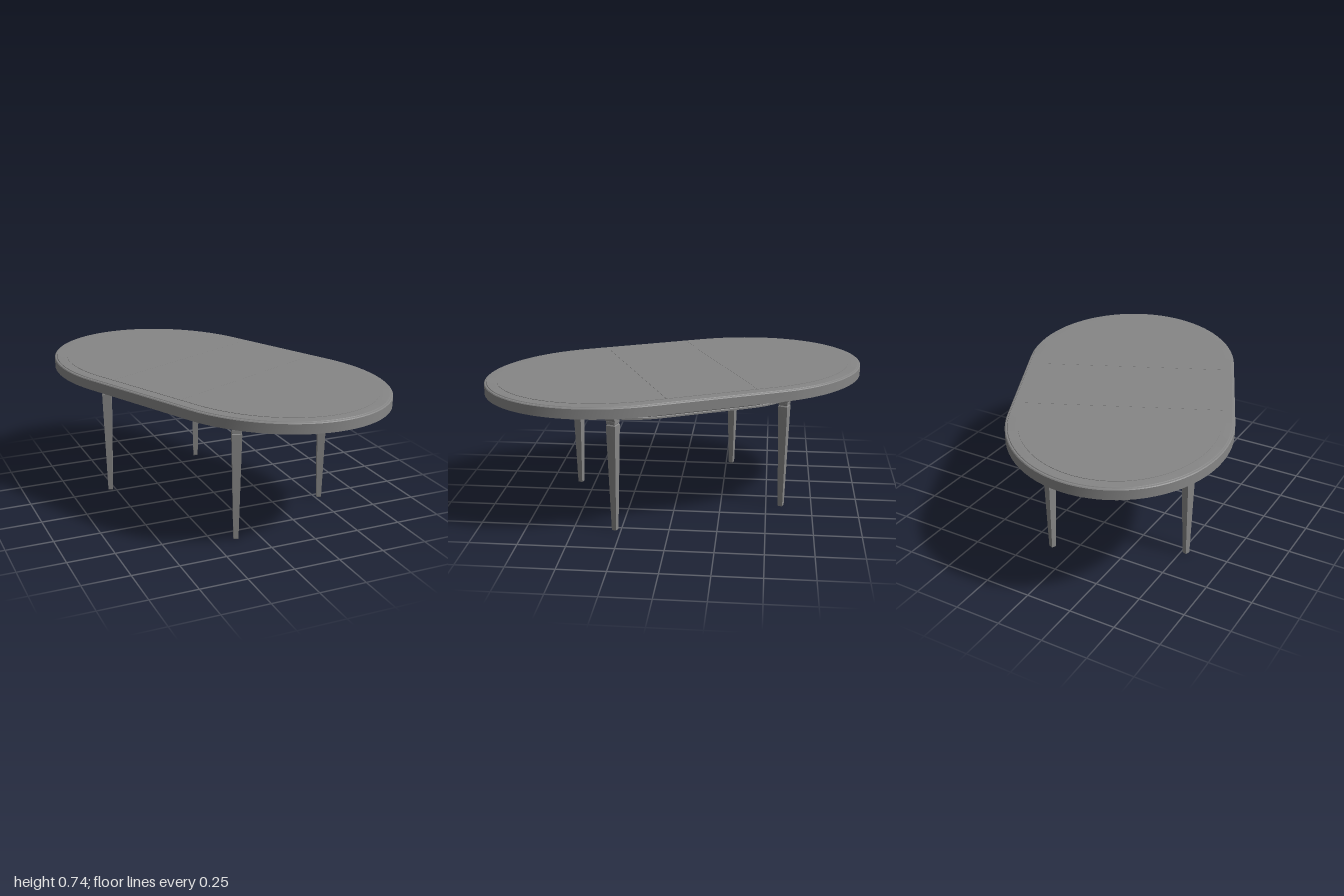
import * as THREE from 'three';
import { toCreasedNormals } from 'three/addons/utils/BufferGeometryUtils.js';

const material = new THREE.MeshStandardMaterial({ color: 0x868686 });

function part(geometry, name, parent) {
  const mesh = new THREE.Mesh(geometry, material);
  mesh.name = name;
  parent.add(mesh);
  return mesh;
}

// Oval outline: two half ellipses (a wide, b long) joined by straights of half length s.
function oval(a, b, s, n = 40) {
  const points = [];
  for (const side of [1, -1]) {
    for (let i = 0; i <= n; i++) {
      const t = (i / n) * Math.PI;
      points.push(new THREE.Vector2(side * a * Math.cos(t), side * (b * Math.sin(t) + s)));
    }
  }
  return points;
}

// Sweeps a closed section of [inset, y] pairs around the oval.
function ovalRing(a, b, s, section) {
  const position = [], index = [];
  const rings = section.map(([inset]) => oval(a - inset, b - inset, s));
  const n = rings[0].length, m = section.length;
  rings.forEach((ring, i) => ring.forEach(p => position.push(p.x, section[i][1], p.y)));
  for (let i = 0; i < m; i++) {
    for (let j = 0; j < n; j++) {
      const i2 = (i + 1) % m, j2 = (j + 1) % n;
      const p = i * n + j, q = i2 * n + j, r = i2 * n + j2, t = i * n + j2;
      index.push(p, q, t, q, r, t);
    }
  }
  const geometry = new THREE.BufferGeometry();
  geometry.setAttribute('position', new THREE.Float32BufferAttribute(position, 3));
  geometry.setIndex(index);
  return toCreasedNormals(geometry, 0.4);
}

// Flat slab from an outline in x and z, with its upper face at the given height.
function slab(points, top, thickness) {
  const geometry = new THREE.ExtrudeGeometry(new THREE.Shape(points), { depth: thickness, bevelEnabled: false });
  return geometry.rotateX(Math.PI / 2).translate(0, top, 0);
}

export function createModel() {
  const model = new THREE.Group();
  const table = new THREE.Group();
  table.name = 'table';
  table.rotation.y = 0.4335;
  model.add(table);

  // Rim of the top with a small stepped edge
  const A = 0.583, B = 0.692, S = 0.36, border = 0.066;
  part(ovalRing(A, B, S, [
    [border, 0.68], [0, 0.68], [0, 0.731], [0.004, 0.735], [0.012, 0.736], [0.014, 0.739], [border, 0.739],
  ]), 'topRim', table);

  // Two end panels and a centre leaf, with fine seams, set high to leave a recessed underside
  const seam = 0.245, gap = 0.0006, w = A - border, top = 0.741, thickness = 0.03;
  const panel = oval(w, B - border, S);
  const corner = (x, z) => new THREE.Vector2(x, z);
  for (const side of [1, -1]) {
    const z = side * (seam + gap);
    const arc = panel.filter(p => p.y * side > seam);
    part(slab([corner(side * w, z), ...arc, corner(-side * w, z)], top, thickness), 'endPanel', table);
  }
  const leafEnd = seam - gap;
  part(slab([corner(w, -leafEnd), corner(w, leafEnd), corner(-w, leafEnd), corner(-w, -leafEnd)],
    top, thickness), 'centreLeaf', table);

  // Flared apron with a thin lip along the bottom
  part(ovalRing(0.505, 0.505, 0.245, [
    [0.088, 0.614], [0.065, 0.614], [0.065, 0.623], [0.069, 0.626], [0, 0.69], [0, 0.712], [0.022, 0.712],
    [0.022, 0.69], [0.088, 0.63],
  ]), 'apron', table);

  // Square tapered leg with a collar
  const profile = [
    [0, 0], [0.0115, 0], [0.013, 0.004], [0.026, 0.572], [0.026, 0.58], [0.022, 0.586],
    [0.025, 0.59], [0.025, 0.602], [0.023, 0.612], [0, 0.612],
  ].map(([half, y]) => new THREE.Vector2(half * Math.SQRT2, y));
  const legGeometry = toCreasedNormals(new THREE.LatheGeometry(profile, 4).rotateY(Math.PI / 4), 0.1);

  // Slanted bracket from the leg up to the top
  const bracketShape = new THREE.Shape([
    [-0.024, 0.604], [0.024, 0.604], [0.03, 0.614], [0.083, 0.69], [0.083, 0.712], [0.045, 0.712], [-0.024, 0.628],
  ].map(([x, y]) => new THREE.Vector2(x, y)));
  const bracketGeometry = new THREE.ExtrudeGeometry(bracketShape, { depth: 0.054, bevelEnabled: false });
  bracketGeometry.translate(0, 0, -0.027);

  for (const sx of [1, -1]) {
    for (const sz of [1, -1]) {
      const leg = new THREE.Group();
      leg.name = (sz > 0 ? 'front' : 'back') + (sx > 0 ? 'Left' : 'Right') + 'Leg';
      leg.position.set(sx * 0.358, 0, sz * 0.476);
      leg.rotation.y = Math.atan2(-sz, sx);
      part(legGeometry, 'legPost', leg);
      part(bracketGeometry, 'legBracket', leg);
      table.add(leg);
    }
  }
  return model;
}
